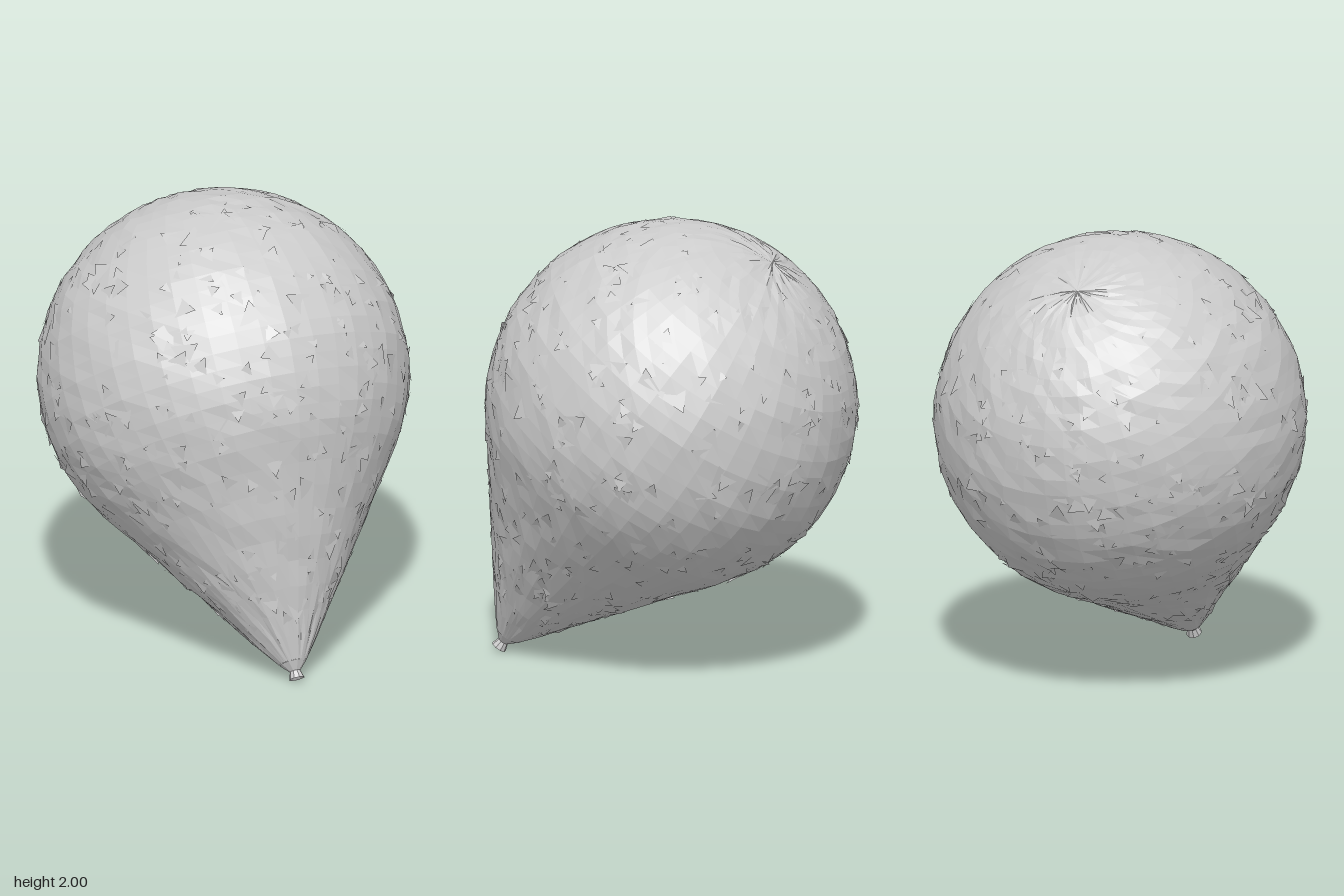
import * as THREE from 'three';

const R = 0.82;      // radius of the round body
const TIP = 1.417;   // distance from body centre to the cone apex
const TANGENT = R * R / TIP;

function seeded(seed) {
  return () => {
    seed = (seed * 1664525 + 1013904223) % 4294967296;
    return seed / 4294967296;
  };
}

// Teardrop radius at distance t from the centre, measured toward the tip
function radiusAt(t) {
  if (t < TANGENT) return Math.sqrt(Math.max(0, R * R - t * t));
  return (TIP - t) * R / Math.sqrt(TIP * TIP - R * R);
}

// Faceted skin: a lathed teardrop with slightly uneven vertices
function makeSkin(material) {
  const rand = seeded(7);
  const profile = [];
  for (let k = 0; k <= 9; k++) {
    const t = 1.33 + (TANGENT - 1.33) * k / 9;
    profile.push(new THREE.Vector2(radiusAt(t), -t));
  }
  const start = Math.acos(TANGENT / R);
  for (let k = 1; k <= 24; k++) {
    const a = start + (Math.PI - start) * k / 24;
    profile.push(new THREE.Vector2(k === 24 ? 0 : R * Math.sin(a), -R * Math.cos(a)));
  }
  const segments = 44, n = profile.length;
  const geometry = new THREE.LatheGeometry(profile, segments);
  const bumps = Array.from({ length: segments * n }, () => 1 + (rand() - 0.5) * 0.012);
  const pos = geometry.attributes.position;
  for (let i = 0; i <= segments; i++) {
    for (let j = 1; j < n - 1; j++) {
      const v = i * n + j, s = bumps[(i % segments) * n + j];
      pos.setXYZ(v, pos.getX(v) * s, pos.getY(v) * s, pos.getZ(v) * s);
    }
  }
  const mesh = new THREE.Mesh(geometry, material);
  mesh.name = 'balloonSkin';
  return mesh;
}

// Small tilted flakes scattered over the skin
function makeFlakes(material) {
  const rand = seeded(31);
  const positions = [];
  for (let k = 0; k < 650; k++) {
    const t = -0.81 + rand() * 2.0;
    const a = rand() * Math.PI * 2;
    const size = 0.03 + rand() * 0.05;
    const turn = rand() * Math.PI * 2;
    for (let c = 0; c < 3; c++) {
      const b = turn + c * 2.1;
      const tc = Math.max(-0.819, t + Math.cos(b) * size);
      const r = radiusAt(tc);
      const ac = a + Math.sin(b) * size / Math.max(r, 0.15);
      const lift = (c === 0 ? 0.008 : -0.004) * (0.5 + rand());
      const rr = Math.max(0, r + lift);
      positions.push(rr * Math.sin(ac), -tc, rr * Math.cos(ac));
    }
  }
  const geometry = new THREE.BufferGeometry();
  geometry.setAttribute('position', new THREE.Float32BufferAttribute(positions, 3));
  geometry.computeVertexNormals();
  const mesh = new THREE.Mesh(geometry, material);
  mesh.name = 'skinFlakes';
  return mesh;
}

// Pinched neck with a little flared lip
function makeKnot(material) {
  const points = [[0, -1.385], [0.035, -1.405], [0.024, -1.37], [radiusAt(1.33), -1.33]]
    .map(([r, y]) => new THREE.Vector2(r, y));
  const mesh = new THREE.Mesh(new THREE.LatheGeometry(points, 9), material);
  mesh.name = 'knot';
  return mesh;
}

export function createModel() {
  const material = new THREE.MeshStandardMaterial({
    color: 0xcccccc, flatShading: true, side: THREE.DoubleSide,
  });
  // The whole balloon leans so its tip points down and forward
  const balloon = new THREE.Group();
  balloon.name = 'balloon';
  balloon.add(makeSkin(material), makeFlakes(material), makeKnot(material));
  balloon.rotation.x = -0.6;
  balloon.position.y = 1.18;

  const model = new THREE.Group();
  model.name = 'model';
  model.add(balloon);
  return model;
}
